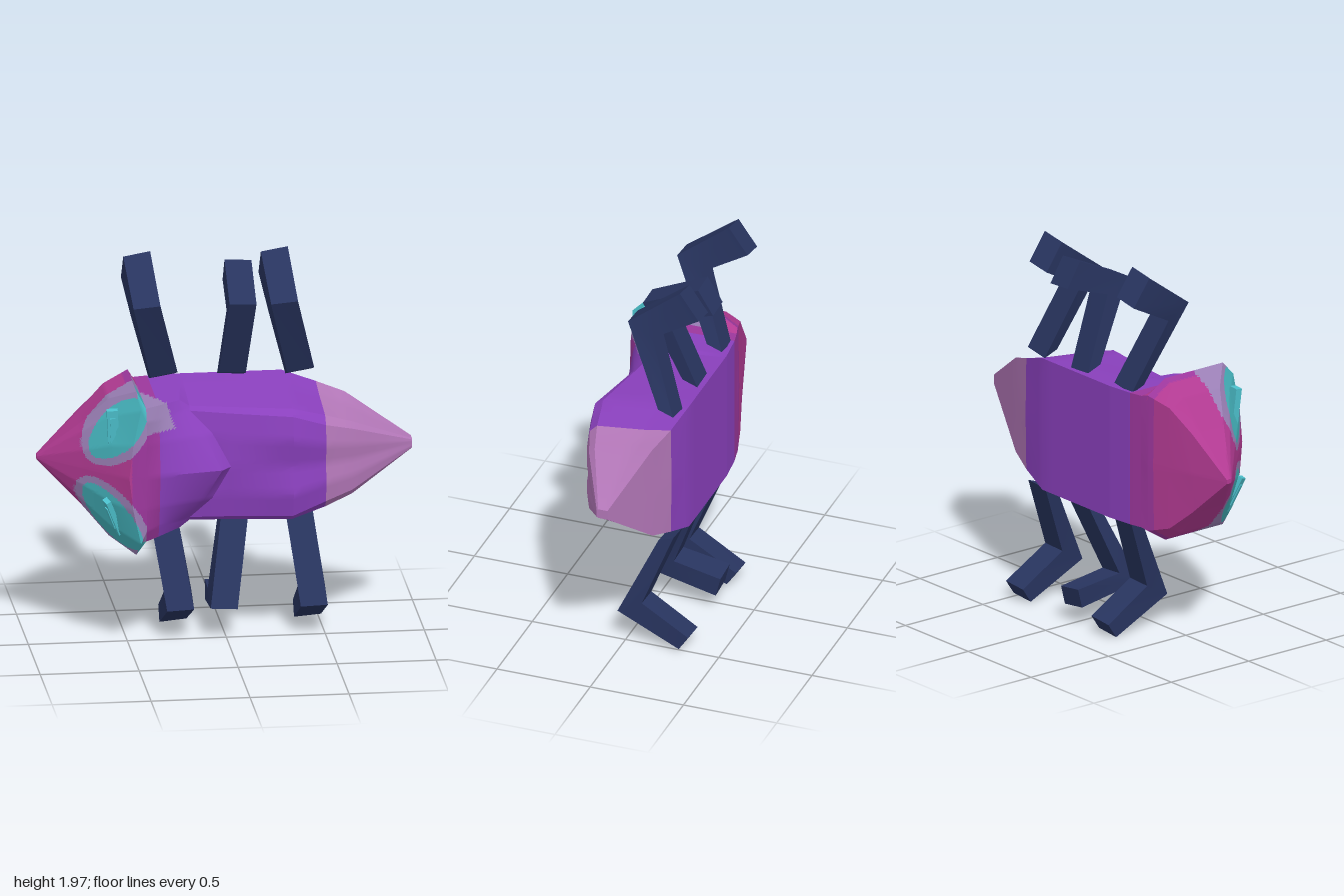
import * as THREE from 'three';
import { toCreasedNormals } from 'three/addons/utils/BufferGeometryUtils.js';

const CY = 0.98; // height of the long body axis

function paint(name, color) {
  const m = new THREE.MeshStandardMaterial({ color });
  m.name = name;
  return m;
}

// Skins closed rings of points; each quad is split n x n and coloured by pick(centroid).
function loft(rings, n, pick, count, crease) {
  const buckets = Array.from({ length: count }, () => []);
  const add = (a, b, c) => {
    const mid = a.clone().add(b).add(c).divideScalar(3);
    buckets[pick(mid)].push(a, b, c);
  };
  const size = rings[0].length;
  for (let i = 0; i < rings.length - 1; i++) {
    for (let k = 0; k < size; k++) {
      const k2 = (k + 1) % size;
      const at = (u, v) => rings[i][k].clone().lerp(rings[i][k2], v)
        .lerp(rings[i + 1][k].clone().lerp(rings[i + 1][k2], v), u);
      for (let p = 0; p < n; p++) for (let q = 0; q < n; q++) {
        const a = at(p / n, q / n), b = at((p + 1) / n, q / n);
        const c = at((p + 1) / n, (q + 1) / n), d = at(p / n, (q + 1) / n);
        add(a, b, c);
        add(a, c, d);
      }
    }
  }
  // end caps
  [rings[0], rings[rings.length - 1]].forEach((ring, end) => {
    const mid = ring.reduce((s, p) => s.add(p), new THREE.Vector3()).divideScalar(size);
    ring.forEach((p, k) => {
      const q = ring[(k + 1) % size];
      if (end) add(mid, q, p); else add(mid, p, q);
    });
  });
  // turn the skin outwards if the rings ran the other way
  const centre = rings.flat().reduce((s, p) => s.add(p), new THREE.Vector3()).divideScalar(size * rings.length);
  let volume = 0;
  for (const list of buckets) for (let i = 0; i < list.length; i += 3) {
    const [a, b, c] = [0, 1, 2].map((j) => list[i + j].clone().sub(centre));
    volume += a.dot(b.cross(c));
  }
  if (volume < 0) {
    for (const list of buckets) for (let i = 0; i < list.length; i += 3) {
      [list[i + 1], list[i + 2]] = [list[i + 2], list[i + 1]];
    }
  }
  const geo = new THREE.BufferGeometry().setFromPoints(buckets.flat());
  let start = 0;
  buckets.forEach((list, i) => {
    if (list.length) geo.addGroup(start, list.length, i);
    start += list.length;
  });
  return toCreasedNormals(geo, crease);
}

// Half section [x, half height, z] from front centre to back centre, mirrored to a full ring.
function ring(half, cy = CY) {
  const side = (s) => ([x, h, z]) => new THREE.Vector3(x, cy + s * h, z);
  return [...half.map(side(1)), ...half.slice(1, -1).reverse().map(side(-1))];
}
const flat = (x, pts) => pts.map(([h, z]) => [x, h, z]);

export function createModel() {
  const model = new THREE.Group();
  const purple = paint('purple shell', 0x8a40bd);
  const lilac = paint('lilac tail', 0xb377b8);
  const magenta = paint('magenta head', 0xb23a92);
  const plum = paint('plum collar', 0x9c379c);
  const teal = paint('teal patch', 0x45b4bd);
  const mauve = paint('mauve halo', 0x9a7fb5);
  const cyan = paint('cyan eye', 0x4cc0cc);
  const navy = paint('navy legs', 0x28345f);

  // head: pointed cone flaring to a wide rim, then stepping in to the neck
  const neck = [[-0.45, 0, 0.335], [-0.44, 0.17, 0.33], [-0.44, 0.29, 0.32], [-0.44, 0.35, 0.29],
    [-0.44, 0.35, -0.15], [-0.44, 0.35, -0.24], [-0.44, 0, -0.24]];
  const headRings = [
    flat(-0.95, [[0, -0.07], [0.005, -0.07], [0.01, -0.075], [0.012, -0.08], [0.012, -0.09], [0.01, -0.1], [0, -0.1]]),
    flat(-0.74, [[0, 0.13], [0.09, 0.125], [0.18, 0.09], [0.215, 0.05], [0.22, -0.11], [0.21, -0.155], [0, -0.165]]),
    flat(-0.61, [[0, 0.26], [0.15, 0.25], [0.29, 0.19], [0.36, 0.13], [0.36, -0.12], [0.32, -0.195], [0, -0.2]]),
    [[-0.53, 0, 0.34], [-0.51, 0.17, 0.34], [-0.47, 0.35, 0.33], [-0.485, 0.43, 0.25],
      [-0.485, 0.43, -0.12], [-0.48, 0.36, -0.23], [-0.48, 0, -0.235]],
    neck,
  ].map((r) => ring(r));
  const headColor = ({ x, y, z }) => {
    const up = y > CY, h = Math.abs(y - CY);
    if (x > -0.48 && h > 0.35) return z > (up ? 0.1 : -0.1) ? 2 : up && z > -0.07 ? 3 : 0;
    if (z > 0.06 && x < -0.44) {
      // slanted oval patch around each eye
      const dx = x + (up ? 0.57 : 0.6), dy = h - 0.235;
      const u = dx * 0.62 + dy * 0.78, v = dx * 0.78 - dy * 0.62;
      if (Math.hypot(u / 0.2, v / 0.085) < 1) return 2;
      if (Math.hypot(u / 0.235, v / 0.125) < 1) return 3;
    }
    return x > -0.515 ? 1 : 0;
  };
  const head = new THREE.Mesh(loft(headRings, 14, headColor, 4, 0.45), [magenta, plum, teal, mauve]);
  head.name = 'head';
  model.add(head);

  // thorax: wedge-shaped hood ending in a point over the back
  const thoraxRings = [
    neck,
    flat(-0.37, [[0, 0.315], [0.17, 0.29], [0.28, 0.26], [0.345, 0.23], [0.35, -0.15], [0.35, -0.255], [0, -0.255]]),
    [[-0.05, 0, 0.26], [-0.14, 0.17, 0.2], [-0.23, 0.29, 0.14], [-0.25, 0.335, 0.12],
      [-0.22, 0.345, -0.15], [-0.22, 0.35, -0.27], [-0.22, 0, -0.27]],
    [[0, 0, 0.2], [-0.09, 0.17, 0.17], [-0.2, 0.28, 0.13], [-0.2, 0.3, 0.11],
      [-0.2, 0.34, -0.15], [-0.2, 0.35, -0.27], [-0.2, 0, -0.27]],
  ].map((r) => ring(r));
  const thoraxColor = ({ x, y, z }) => {
    if (y > CY + 0.22 && z > 0 && x < Math.min(-0.25, -0.45 + 0.7 * z)) return 2;
    return x < -0.37 ? 1 : 0;
  };
  const thorax = new THREE.Mesh(loft(thoraxRings, 10, thoraxColor, 3, 0.45), [purple, plum, mauve]);
  thorax.name = 'thorax';
  model.add(thorax);

  // abdomen: long shell, tapering to the tail
  const seam = flat(0.48, [[0, 0.2], [0.1, 0.215], [0.2, 0.2], [0.24, 0.16], [0.27, -0.1], [0.295, -0.235], [0, -0.24]]);
  const abdomenRings = [
    flat(-0.2, [[0, 0.14], [0.17, 0.15], [0.28, 0.13], [0.3, 0.11], [0.34, -0.15], [0.35, -0.27], [0, -0.27]]),
    flat(0, [[0, 0.2], [0.15, 0.19], [0.27, 0.17], [0.295, 0.14], [0.335, -0.13], [0.35, -0.27], [0, -0.27]]),
    flat(0.31, [[0, 0.235], [0.14, 0.26], [0.26, 0.235], [0.29, 0.19], [0.325, -0.1], [0.35, -0.27], [0, -0.27]]),
    seam,
  ].map((r) => ring(r));
  const abdomen = new THREE.Mesh(loft(abdomenRings, 4, () => 0, 1, 0.45), [purple]);
  abdomen.name = 'abdomen';
  model.add(abdomen);

  const tailRings = [
    ring(seam),
    ring(flat(0.62, [[0, 0.15], [0.08, 0.16], [0.16, 0.15], [0.19, 0.12], [0.22, -0.08], [0.25, -0.19], [0, -0.19]])),
    ring(flat(0.94, [[0, -0.01], [0.012, -0.01], [0.02, -0.012], [0.025, -0.02], [0.025, -0.05], [0.025, -0.07], [0, -0.07]]), 1.0),
  ];
  const tail = new THREE.Mesh(loft(tailRings, 4, () => 0, 1, 0.45), [lilac]);
  tail.name = 'tail';
  model.add(tail);

  // eyes: slanted plates, each with a smaller raised strip
  for (const s of [1, -1]) {
    const along = new THREE.Vector3(0.13, 0.17 * s, 0.09).normalize();
    const out = new THREE.Vector3(-0.62, 0.3 * s, 0.72);
    out.addScaledVector(along, -out.dot(along)).normalize();
    const across = new THREE.Vector3().crossVectors(out, along);
    const eye = new THREE.Group();
    eye.name = s > 0 ? 'upperEye' : 'lowerEye';
    [[0.055, 0.21, 0.035, 0], [0.028, 0.13, 0.01, 0.02]].forEach(([w, l, d, lift]) => {
      const plate = new THREE.Mesh(new THREE.BoxGeometry(w, l, d), cyan);
      plate.position.z = lift;
      eye.add(plate);
    });
    eye.quaternion.setFromRotationMatrix(new THREE.Matrix4().makeBasis(across, along, out));
    eye.position.set(-0.6, CY + 0.23 * s, 0.228);
    model.add(eye);
  }

  // legs: two bent segments; profile edges are [y, z] pairs at hip, knee and foot
  const upper = [[[1.33, -0.24], [1.36, -0.16]], [[1.71, -0.09], [1.78, 0.04]], [[1.84, -0.33], [1.98, -0.23]]];
  const lower = [[[0.63, -0.24], [0.6, -0.16]], [[0.25, -0.09], [0.18, 0.04]], [[0.1, -0.34], [0.025, -0.29]]];
  const middleUpper = [upper[0], upper[1], [[1.79, -0.34], [1.92, -0.26]]];
  const middleLower = [lower[0], lower[1], [[0.21, -0.345], [0.11, -0.32]]];
  const legs = [
    ['upperFrontLeg', upper, [-0.295, -0.405, -0.425]],
    ['upperMiddleLeg', middleUpper, [0.05, 0.08, 0.09]],
    ['upperRearLeg', upper, [0.395, 0.29, 0.27]],
    ['lowerFrontLeg', lower, [-0.295, -0.235, -0.235]],
    ['lowerMiddleLeg', middleLower, [0.06, -0.015, 0]],
    ['lowerRearLeg', lower, [0.39, 0.44, 0.445]],
  ];
  for (const [name, profile, xs] of legs) {
    const lean = (xs[1] - xs[0]) / (profile[1][0][0] - profile[0][0][0]);
    const rings = profile.map(([a, b], i) => [[a, -1], [a, 1], [b, 1], [b, -1]].map(([p, side]) =>
      new THREE.Vector3(xs[i] + side * 0.068, p[0] - side * 0.068 * lean * (i === 1 ? 0.3 : 0.6), p[1])));
    const leg = new THREE.Mesh(loft(rings, 1, () => 0, 1, 0.4), [navy]);
    leg.name = name;
    model.add(leg);
  }
  return model;
}
